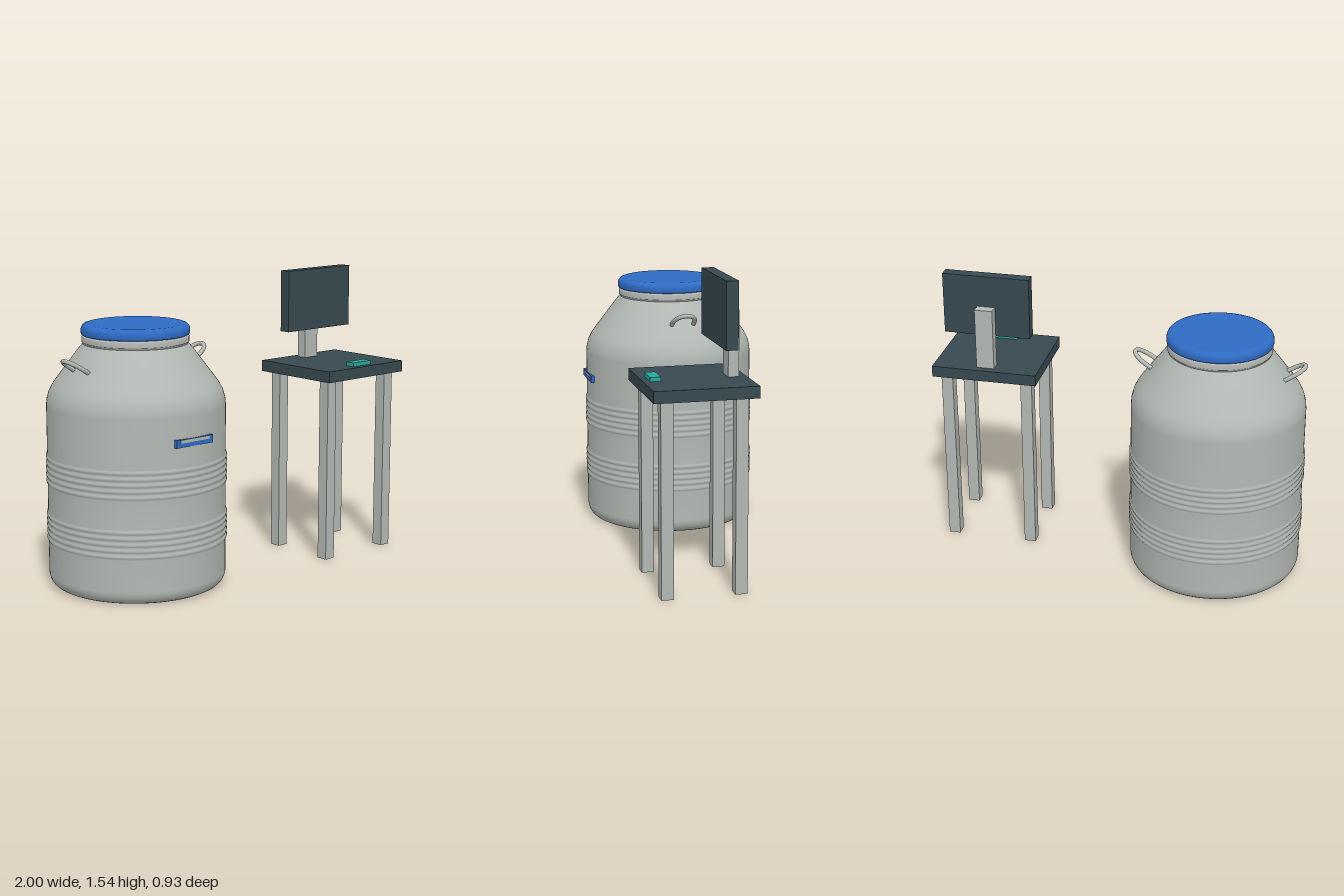
import * as THREE from 'three';

const mat = (name, color) => {
  const m = new THREE.MeshStandardMaterial({ color });
  m.name = name;
  return m;
};

export function createModel() {
  const steel = mat('brushed grey', 0xb2b8b4);
  const blue = mat('blue', 0x2f6bc4);
  const slate = mat('dark slate', 0x37494f);
  const teal = mat('teal', 0x2aa79b);

  const model = new THREE.Group();
  model.name = 'storageTankAndDesk';

  const add = (parent, name, geometry, material, x = 0, y = 0, z = 0) => {
    const mesh = new THREE.Mesh(geometry, material);
    mesh.name = name;
    mesh.position.set(x, y, z);
    parent.add(mesh);
    return mesh;
  };
  // Box given by its minimum and maximum corners
  const box = (parent, name, material, [x0, y0, z0], [x1, y1, z1]) =>
    add(parent, name, new THREE.BoxGeometry(x1 - x0, y1 - y0, z1 - z0), material,
      (x0 + x1) / 2, (y0 + y1) / 2, (z0 + z1) / 2);
  const lathe = (points) =>
    new THREE.LatheGeometry(points.map(([r, y]) => new THREE.Vector2(r, y)), 96);

  // ---- Tank ----
  const tank = new THREE.Group();
  tank.name = 'tank';
  tank.position.x = -0.535;
  model.add(tank);

  // Body profile: rounded foot, two bands of five ribs, sloped shoulder
  const R = 0.458;
  const profile = [[0, 0], [0.398, 0], [0.4, 0]];
  for (let i = 1; i <= 6; i++) {
    const a = (i / 6) * Math.PI / 2;
    profile.push([0.4 + (R - 0.4) * Math.sin(a), 0.07 * (1 - Math.cos(a))]);
  }
  for (const base of [0.236, 0.536]) {
    const pitch = 0.031;
    for (let i = 0; i < 5; i++) {
      for (let k = 0; k < 4; k++) {
        profile.push([R + 0.007 * Math.sin(k / 4 * Math.PI), base + pitch * (i + k / 4)]);
      }
    }
    profile.push([R, base + pitch * 5]);
  }
  profile.push([R, 0.94], [0.455, 0.972], [0.445, 1.008], [0.43, 1.038],
    [0.408, 1.07], [0.35, 1.147], [0.295, 1.22], [0.275, 1.243], [0.267, 1.254]);
  add(tank, 'body', lathe(profile), steel);

  // Neck collar and lid
  add(tank, 'neck', lathe([[0.262, 1.25], [0.268, 1.251], [0.268, 1.259], [0.273, 1.262],
    [0.273, 1.264], [0.273, 1.288], [0.268, 1.293], [0.255, 1.302]]), steel);
  add(tank, 'lid', lathe([[0, 1.298], [0.27, 1.298], [0.274, 1.3], [0.277, 1.308],
    [0.277, 1.325], [0.273, 1.338], [0.264, 1.348], [0.25, 1.353], [0.248, 1.3535],
    [0, 1.3535]]), blue);

  // U-shaped carrying handles on the shoulder
  for (const side of [-1, 1]) {
    const path = new THREE.CatmullRomCurve3([
      [0.33, 1.13, -0.058], [0.365, 1.153, -0.06], [0.405, 1.178, -0.053],
      [0.435, 1.197, -0.03], [0.445, 1.203, 0], [0.435, 1.197, 0.03],
      [0.405, 1.178, 0.053], [0.365, 1.153, 0.06], [0.33, 1.13, 0.058],
    ].map(([x, y, z]) => new THREE.Vector3(side * x, y, z)));
    add(tank, side > 0 ? 'leftHandle' : 'rightHandle',
      new THREE.TubeGeometry(path, 40, 0.0115, 12), steel);
  }

  // Label holder with a pale slot
  box(tank, 'labelHolder', blue, [-0.117, 0.793, 0.435], [0.117, 0.833, 0.462]);
  box(tank, 'labelSlot', steel, [-0.095, 0.815, 0.459], [0.095, 0.83, 0.464]);

  // ---- Desk ----
  const desk = new THREE.Group();
  desk.name = 'desk';
  model.add(desk);
  box(desk, 'tableTop', slate, [0.43, 0.985, -0.09], [1, 1.045, 0.43]);
  for (const x of [0.495, 0.933]) {
    for (const z of [-0.014, 0.357]) {
      box(desk, 'leg', steel, [x - 0.031, 0, z - 0.031], [x + 0.031, 0.985, z + 0.031]);
    }
  }

  // Monitor on its post, and the small control pad
  box(desk, 'monitorPost', steel, [0.667, 1.045, -0.051], [0.763, 1.375, 0.004]);
  box(desk, 'monitor', slate, [0.48, 1.212, 0.004], [0.948, 1.545, 0.065]);
  box(desk, 'controlPad', teal, [0.648, 1.045, 0.343], [0.78, 1.066, 0.397]);

  return model;
}
